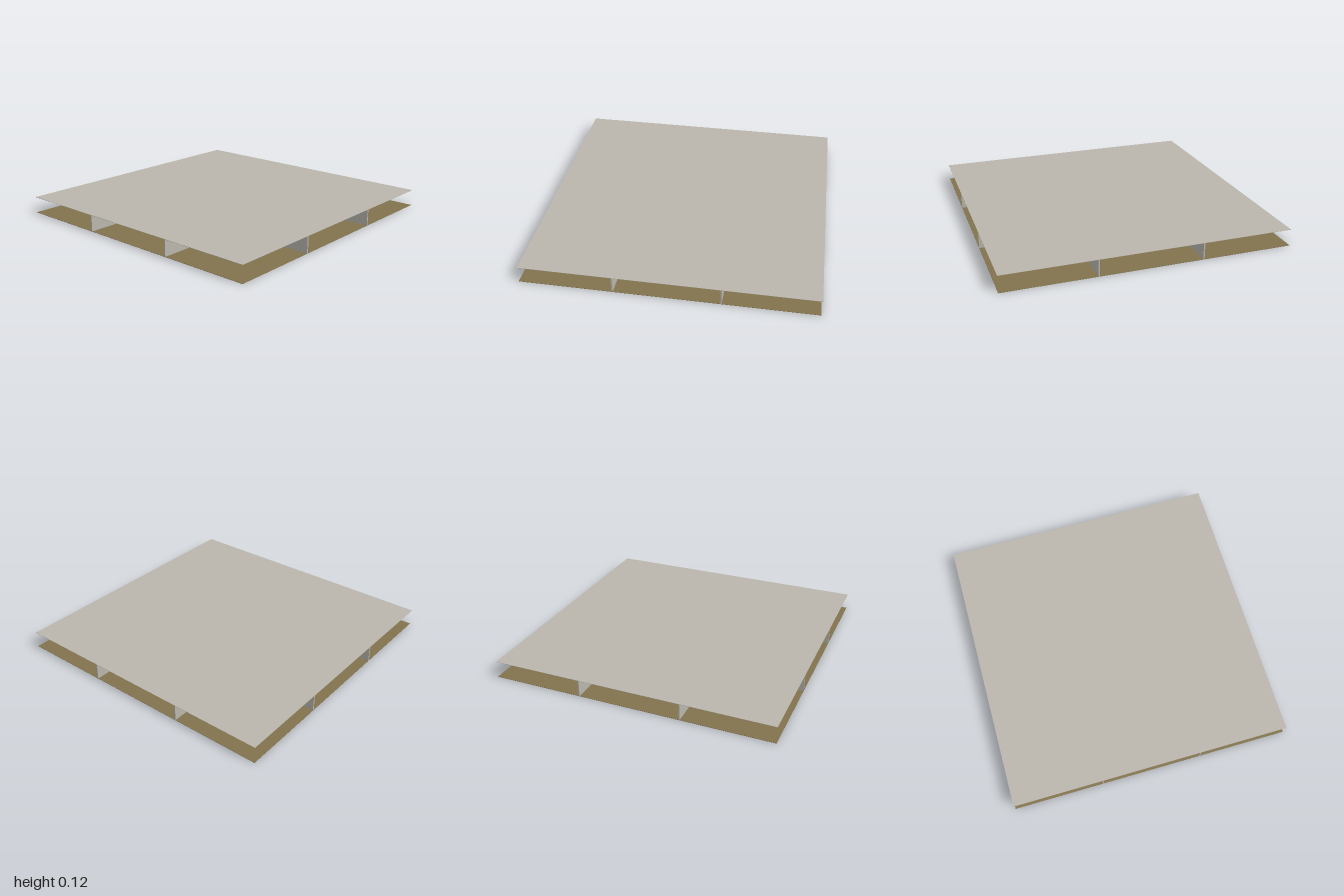
import * as THREE from 'three';

const H = 0.12; // storey height
const T = 0.01; // wall thickness

export function createModel() {
  const model = new THREE.Group();
  const plaster = new THREE.MeshStandardMaterial({ color: 0xbab6ad });
  plaster.name = 'pale plaster';
  const carpet = new THREE.MeshStandardMaterial({ color: 0x82734c });
  carpet.name = 'ochre carpet';

  // Box given by its extents in x and z, standing on y0
  function block(name, x0, x1, z0, z1, height = H - 0.002, y0 = 0.001, material = plaster) {
    const mesh = new THREE.Mesh(new THREE.BoxGeometry(x1 - x0, height, z1 - z0), material);
    mesh.position.set((x0 + x1) / 2, y0 + height / 2, (z0 + z1) / 2);
    mesh.name = name;
    model.add(mesh);
  }
  const wallX = (name, z, x0, x1, height) => block(name, x0, x1, z - T / 2, z + T / 2, height);
  const wallZ = (name, x, z0, z1, height) => block(name, x - T / 2, x + T / 2, z0, z1, height);
  const pillar = (x, z, s = 0.03) => block('pillar', x - s / 2, x + s / 2, z - s / 2, z + s / 2);

  // Floor and ceiling sheets
  block('floor', -1, 1, -1, 1, 0.002, 0, carpet);
  block('ceiling', -1, 1, -1, 1, 0.002, H - 0.002);

  // Ceiling grid just below the ceiling
  const tiles = 20;
  for (let i = 1; i < tiles; i++) {
    const p = -1 + (2 * i) / tiles;
    block('ceilingBar', p - 0.002, p + 0.002, -0.995, 0.995, 0.001, H - 0.003);
    block('ceilingBar', -0.995, 0.995, p - 0.002, p + 0.002, 0.001, H - 0.003);
  }

  // Long partitions running out to all four edges
  const W = 0.36;
  wallZ('frontPartitionRight', -W, 0.43, 1);
  wallZ('frontPartitionLeft', W, 0.46, 1);
  wallZ('backPartitionRight', -W, -1, -0.43);
  wallZ('backPartitionLeft', W, -1, -0.4);
  wallX('rightPartitionFront', W, -1, -0.4);
  wallX('rightPartitionBack', -W, -1, -0.4);
  wallX('leftPartitionFront', W, 0.42, 1);
  wallX('leftPartitionBack', -W, 0.495, 1);

  // Short walls of the middle rooms
  wallZ('innerWall', W, 0.185, 0.365);
  wallZ('innerWall', -W, -0.085, 0.15);
  wallX('innerWall', -0.205, 0.09, 0.325);
  wallX('innerWall', 0.145, 0.185, 0.42);
  wallX('innerWall', -0.05, -0.29, -0.22);
  wallX('lowWall', 0.108, -W, -0.14, 0.049);

  // Free-standing pillars
  pillar(-0.383, -0.328);
  pillar(-0.272, -0.005);
  pillar(-0.185, -0.328);
  pillar(-0.035, 0.203);
  pillar(-0.005, -0.07);
  pillar(0.043, -0.288, 0.025);
  pillar(0.197, 0.132, 0.025);
  pillar(0.31, -0.005);
  return model;
}
